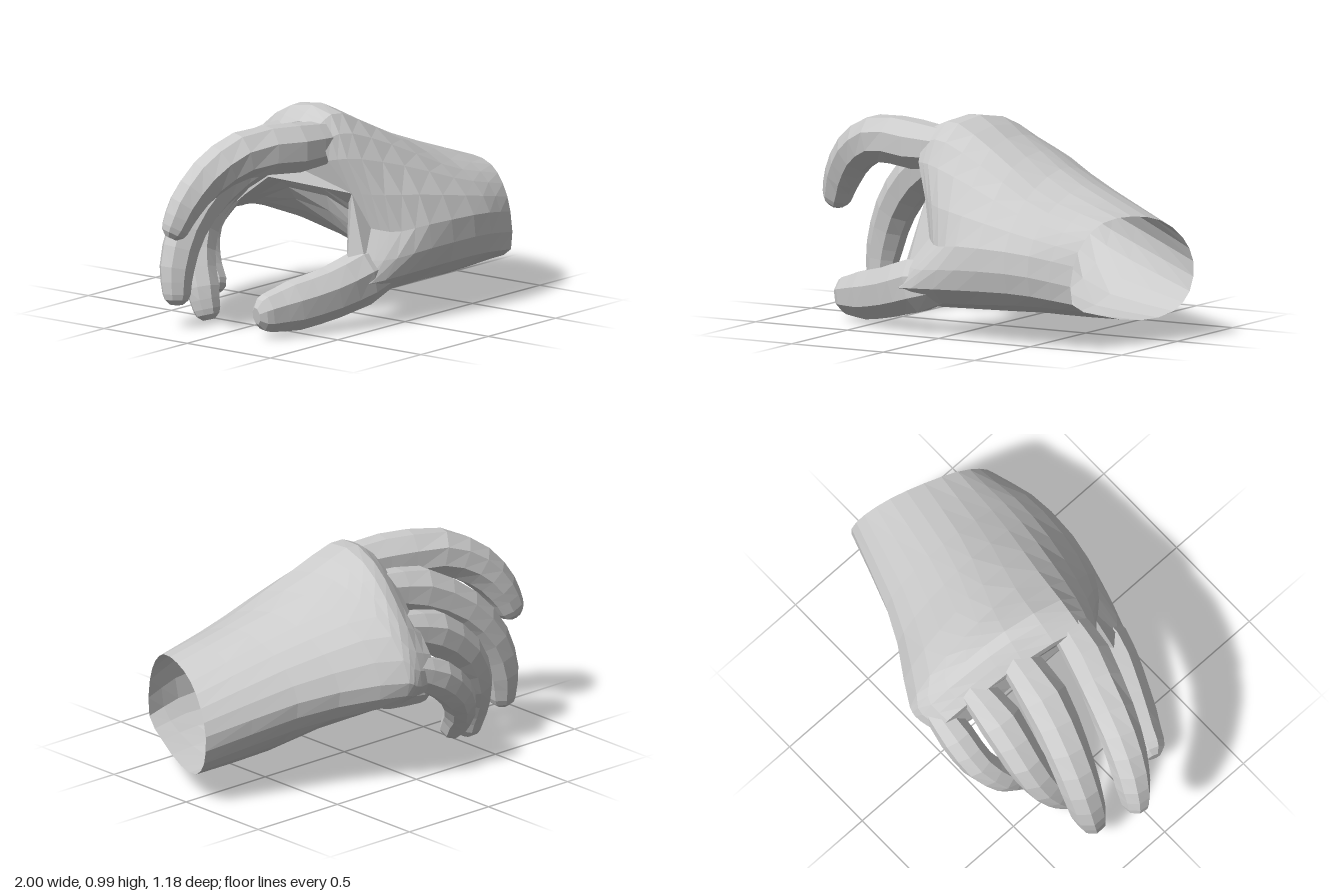
import * as THREE from 'three';

const material = new THREE.MeshStandardMaterial({ color: 0xcccccc, flatShading: true, side: THREE.DoubleSide });

// Skin a list of equal-sized point rings; caps are triangles on the last ring.
function loft(name, rings, capTriangles) {
  const n = rings[0].length;
  const index = [];
  for (let i = 0; i < rings.length - 1; i++) {
    for (let j = 0; j < n; j++) {
      const a = i * n + j, b = i * n + (j + 1) % n;
      index.push(a, b, a + n, b, b + n, a + n);
    }
  }
  const last = (rings.length - 1) * n;
  for (const t of capTriangles) index.push(...t.map((k) => last + k));
  const geometry = new THREE.BufferGeometry().setFromPoints(rings.flat());
  geometry.setIndex(index);
  geometry.computeVertexNormals();
  const mesh = new THREE.Mesh(geometry, material);
  mesh.name = name;
  return mesh;
}

// A bent finger: each joint is [x, y, z, half width]; the root ring is shrunk inside the palm.
function finger(name, depth, joints) {
  const sides = 8, spans = joints.length - 1;
  const curve = new THREE.CatmullRomCurve3(joints.map(([x, y, z]) => new THREE.Vector3(x, y, z)));
  const ring = (t, shrink, push) => {
    const k = Math.min(Math.floor(t * spans), spans - 1);
    const w = THREE.MathUtils.lerp(joints[k][3], joints[k + 1][3], t * spans - k) * shrink;
    const tangent = curve.getTangent(t);
    const side = new THREE.Vector3(0, 0, 1).addScaledVector(tangent, -tangent.z).normalize();
    const up = new THREE.Vector3().crossVectors(tangent, side);
    const centre = curve.getPoint(t).addScaledVector(tangent, push);
    return Array.from({ length: sides }, (_, j) => {
      const a = ((j + 0.5) / sides) * Math.PI * 2;
      return centre.clone().addScaledVector(up, Math.cos(a) * w * depth).addScaledVector(side, -Math.sin(a) * w);
    });
  };
  const rings = [];
  for (let i = 0; i <= spans * 2; i++) rings.push(ring(i / (spans * 2), 1, 0));
  // Rounded fingertip
  const r = joints[spans][3];
  rings.push(ring(1, 0.85, r * 0.4), ring(1, 0.45, r * 0.75));
  const cap = [];
  for (let j = 1; j < sides - 1; j++) cap.push([0, j, j + 1]);
  return loft(name, rings, cap);
}

// Cross-sections from wrist to finger roots: x, slant, web recess, then [z, y] points
// over the knuckles, round the little-finger edge, through the palm and up the thumb side.
const sections = [
  [0.95, 0.38, 0, [[0.36, 0.6], [0.2, 0.615], [0.04, 0.58], [-0.08, 0.49], [-0.14, 0.37], [-0.12, 0.23],
    [-0.03, 0.145], [0.15, 0.12], [0.38, 0.165], [0.53, 0.23], [0.525, 0.41], [0.46, 0.53]]],
  [0.48, 0, 0, [[0.32, 0.69], [0.1, 0.755], [-0.08, 0.735], [-0.26, 0.65], [-0.36, 0.5], [-0.31, 0.35],
    [-0.12, 0.21], [0.16, 0.15], [0.42, 0.16], [0.565, 0.26], [0.58, 0.455], [0.47, 0.6]]],
  [0.12, 0, 0, [[0.23, 0.88], [-0.06, 0.91], [-0.24, 0.86], [-0.46, 0.74], [-0.585, 0.54], [-0.52, 0.42],
    [-0.2, 0.42], [0.16, 0.3], [0.36, 0.14], [0.54, 0.25], [0.55, 0.46], [0.4, 0.72]]],
  [-0.08, 0.25, 0.16, [[0.18, 0.985], [-0.12, 0.98], [-0.33, 0.855], [-0.53, 0.67], [-0.59, 0.51], [-0.5, 0.42],
    [-0.2, 0.58], [0.19, 0.49], [0.34, 0.13], [0.49, 0.23], [0.47, 0.44], [0.31, 0.79]]],
  [-0.2, 0.25, 0.18, [[0.17, 0.94], [-0.13, 0.89], [-0.33, 0.76], [-0.52, 0.62], [-0.56, 0.5], [-0.49, 0.43],
    [-0.2, 0.63], [0.22, 0.55], [0.34, 0.13], [0.43, 0.22], [0.39, 0.46], [0.25, 0.79]]],
];

function palm() {
  const outlines = sections.map(([x, slant, recess, points]) => new THREE.CatmullRomCurve3(
    points.map(([z, y], j) => new THREE.Vector3(x - slant * z + (j === 7 || j === 10 ? recess : 0), y, z)), true));
  const rows = 10, around = 24;
  const columns = Array.from({ length: around }, (_, j) =>
    new THREE.CatmullRomCurve3(outlines.map((o) => o.getPoint(j / around))));
  const rings = Array.from({ length: rows + 1 }, (_, i) => columns.map((c) => c.getPoint(i / rows)));
  // Finger roots and thumb web; the wrist stays open
  const end = rings[rows].map((p) => new THREE.Vector2(p.z, p.y));
  return loft('palm', rings, THREE.ShapeUtils.triangulateShape(end, []));
}

export function createModel() {
  const hand = new THREE.Group();
  hand.name = 'hand';
  hand.add(
    palm(),
    finger('indexFinger', 1.1, [[-0.14, 0.85, 0.16, 0.09], [-0.35, 0.85, 0.12, 0.11],
      [-0.62, 0.845, 0.02, 0.105], [-0.79, 0.755, -0.05, 0.095],
      [-0.89, 0.63, -0.1, 0.082], [-0.935, 0.53, -0.125, 0.066]]),
    finger('middleFinger', 1.05, [[-0.09, 0.82, -0.12, 0.09], [-0.33, 0.77, -0.15, 0.115],
      [-0.55, 0.64, -0.21, 0.105], [-0.69, 0.47, -0.25, 0.095],
      [-0.755, 0.29, -0.26, 0.084], [-0.77, 0.17, -0.25, 0.068]]),
    finger('ringFinger', 1.05, [[-0.04, 0.7, -0.34, 0.08], [-0.24, 0.64, -0.345, 0.105],
      [-0.42, 0.5, -0.36, 0.095], [-0.52, 0.32, -0.33, 0.088],
      [-0.565, 0.16, -0.26, 0.08], [-0.57, 0.065, -0.23, 0.066]]),
    finger('littleFinger', 1.12, [[0.04, 0.56, -0.5, 0.07], [-0.12, 0.49, -0.51, 0.085],
      [-0.25, 0.38, -0.5, 0.08], [-0.34, 0.25, -0.43, 0.074], [-0.37, 0.14, -0.35, 0.062]]),
    finger('thumb', 1.25, [[0.05, 0.27, 0.41, 0.07], [-0.18, 0.235, 0.385, 0.11],
      [-0.35, 0.185, 0.335, 0.103], [-0.53, 0.145, 0.26, 0.098], [-0.67, 0.125, 0.21, 0.075]]),
  );
  return hand;
}
